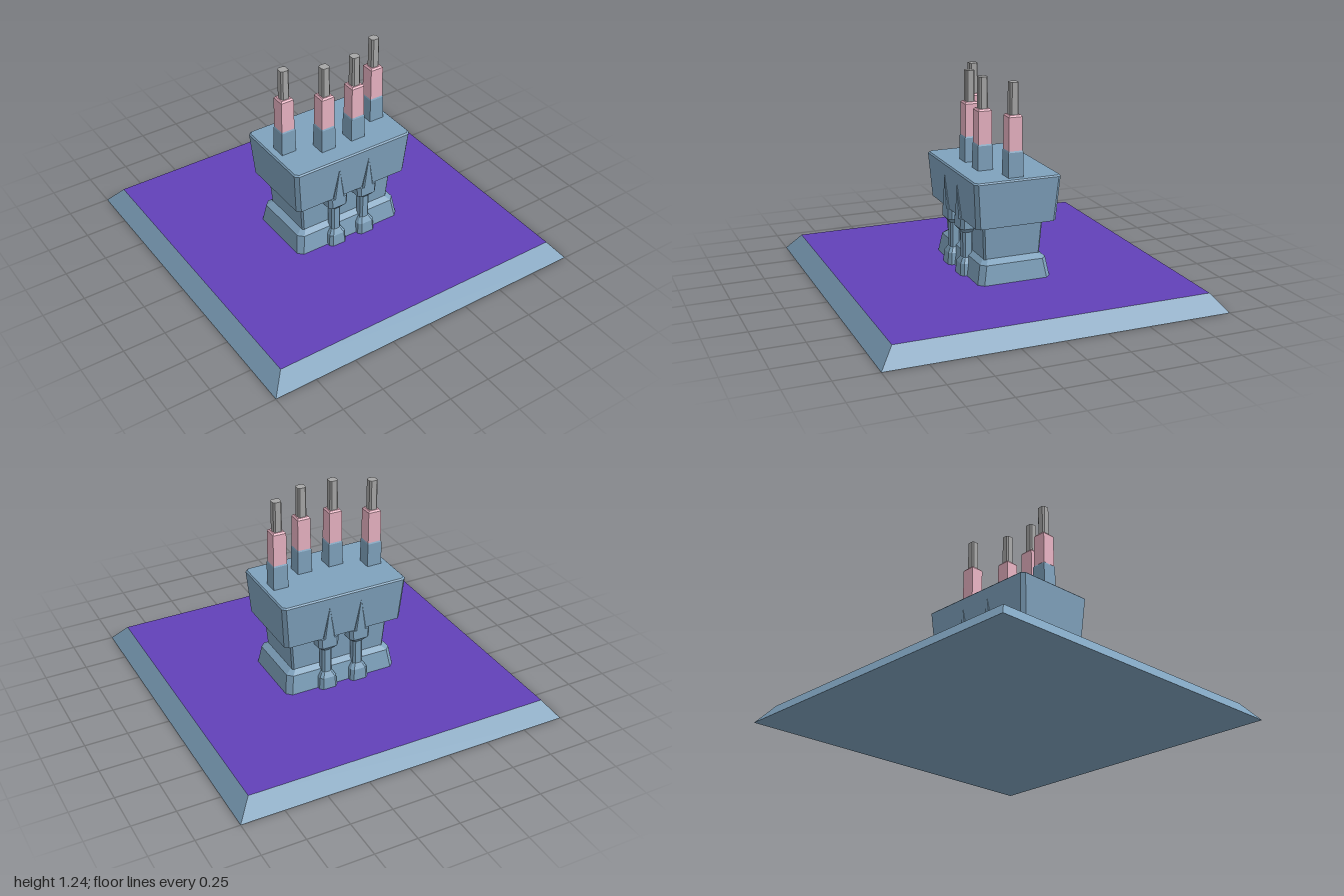
import * as THREE from 'three';

const paint = (color) => new THREE.MeshStandardMaterial({ color, flatShading: true });

// Stack of rectangles with cut corners; each section is [y, halfX, halfZ, cornerCut, zShift]
function loft(sections, topCap = true) {
  const rings = sections.map(([y, hx, hz, c = 0, dz = 0]) => {
    const a = hx - c, b = hz - c;
    return [[hx, -b], [hx, b], [a, hz], [-a, hz], [-hx, b], [-hx, -b], [-a, -hz], [a, -hz]]
      .map(([x, z]) => new THREE.Vector3(x, y, z + dz));
  });
  const pos = [];
  const tri = (a, b, c) => {
    const area = b.clone().sub(a).cross(c.clone().sub(a)).length();
    if (area > 1e-9) for (const p of [a, b, c]) pos.push(p.x, p.y, p.z);
  };
  for (let s = 0; s < rings.length - 1; s++) {
    const lo = rings[s], hi = rings[s + 1];
    for (let i = 0; i < 8; i++) {
      const j = (i + 1) % 8;
      tri(lo[i], hi[i], hi[j]);
      tri(lo[i], hi[j], lo[j]);
    }
  }
  const first = rings[0], last = rings[rings.length - 1];
  for (let i = 1; i < 7; i++) {
    tri(first[0], first[i], first[i + 1]);
    if (topCap) tri(last[0], last[i + 1], last[i]);
  }
  const geometry = new THREE.BufferGeometry();
  geometry.setAttribute('position', new THREE.Float32BufferAttribute(pos, 3));
  geometry.computeVertexNormals();
  return geometry;
}

export function createModel() {
  const model = new THREE.Group();
  model.name = 'towerOnPlatform';
  const blue = paint(0x7fa2bd), purple = paint(0x6241b8);
  const pink = paint(0xe8b2c2), grey = paint(0xa6a6a6);

  const add = (parent, name, geometry, material) => {
    const mesh = new THREE.Mesh(geometry, material);
    mesh.name = name;
    parent.add(mesh);
    return mesh;
  };

  // Sloped ground platform with its coloured deck
  add(model, 'platform', loft([[0, 1, 1], [0.1, 0.917, 0.917]], false), blue);
  const deck = add(model, 'deck', new THREE.PlaneGeometry(1.834, 1.834), purple);
  deck.rotation.x = -Math.PI / 2;
  deck.position.y = 0.1;

  // Plinth, waist and overhanging upper block
  add(model, 'plinth', loft([
    [0.1, 0.352, 0.22, 0.03], [0.212, 0.335, 0.2, 0.03], [0.237, 0.298, 0.17, 0.02],
  ]), blue);
  add(model, 'waist', loft([[0.23, 0.296, 0.17, 0.01], [0.44, 0.312, 0.182, 0.01]]), blue);
  add(model, 'upperBlock', loft([
    [0.44, 0.371, 0.242, 0.022], [0.702, 0.391, 0.26, 0.02], [0.71, 0.383, 0.252, 0.018],
  ]), blue);

  // Two columns on the front and two on the back
  const columnGeometry = loft([
    [0.1, 0.057, 0.055, 0.018], [0.17, 0.052, 0.05, 0.016], [0.197, 0.034, 0.033, 0.012],
    [0.2, 0.03, 0.03, 0.012], [0.35, 0.03, 0.03, 0.012], [0.38, 0.063, 0.055, 0.018],
    [0.44, 0.065, 0.055, 0.018],
  ]);
  const spikeGeometry = loft([[0.44, 0.036, 0.03, 0.008], [0.64, 0.001, 0.001, 0, 0.029]]);
  for (const side of [1, -1]) {
    for (const x of [-0.1, 0.1]) {
      const column = new THREE.Group();
      column.name = side > 0 ? 'frontColumn' : 'backColumn';
      add(column, 'columnShaft', columnGeometry, blue);
      const spike = add(column, 'columnSpike', spikeGeometry, blue);
      spike.position.z = 0.027;
      column.position.set(x, 0, side * 0.2);
      if (side < 0) column.rotation.y = Math.PI;
      model.add(column);
    }
  }

  // Four stepped chimneys on the roof
  const footGeometry = loft([[0.7, 0.046, 0.046], [0.852, 0.044, 0.044], [0.86, 0.04, 0.04]]);
  const middleGeometry = loft([[0.86, 0.041, 0.041], [1.05, 0.04, 0.04], [1.06, 0.032, 0.032]]);
  const tipGeometry = loft([[1.05, 0.026, 0.026, 0.009], [1.24, 0.025, 0.025, 0.009]]);
  for (const [x, z] of [[-0.3, 0], [-0.1, 0.1], [0.1, 0.1], [0.3, 0]]) {
    const chimney = new THREE.Group();
    chimney.name = 'chimney';
    add(chimney, 'chimneyFoot', footGeometry, blue);
    add(chimney, 'chimneyMiddle', middleGeometry, pink);
    add(chimney, 'chimneyTip', tipGeometry, grey);
    chimney.position.set(x, 0, z);
    model.add(chimney);
  }
  return model;
}
